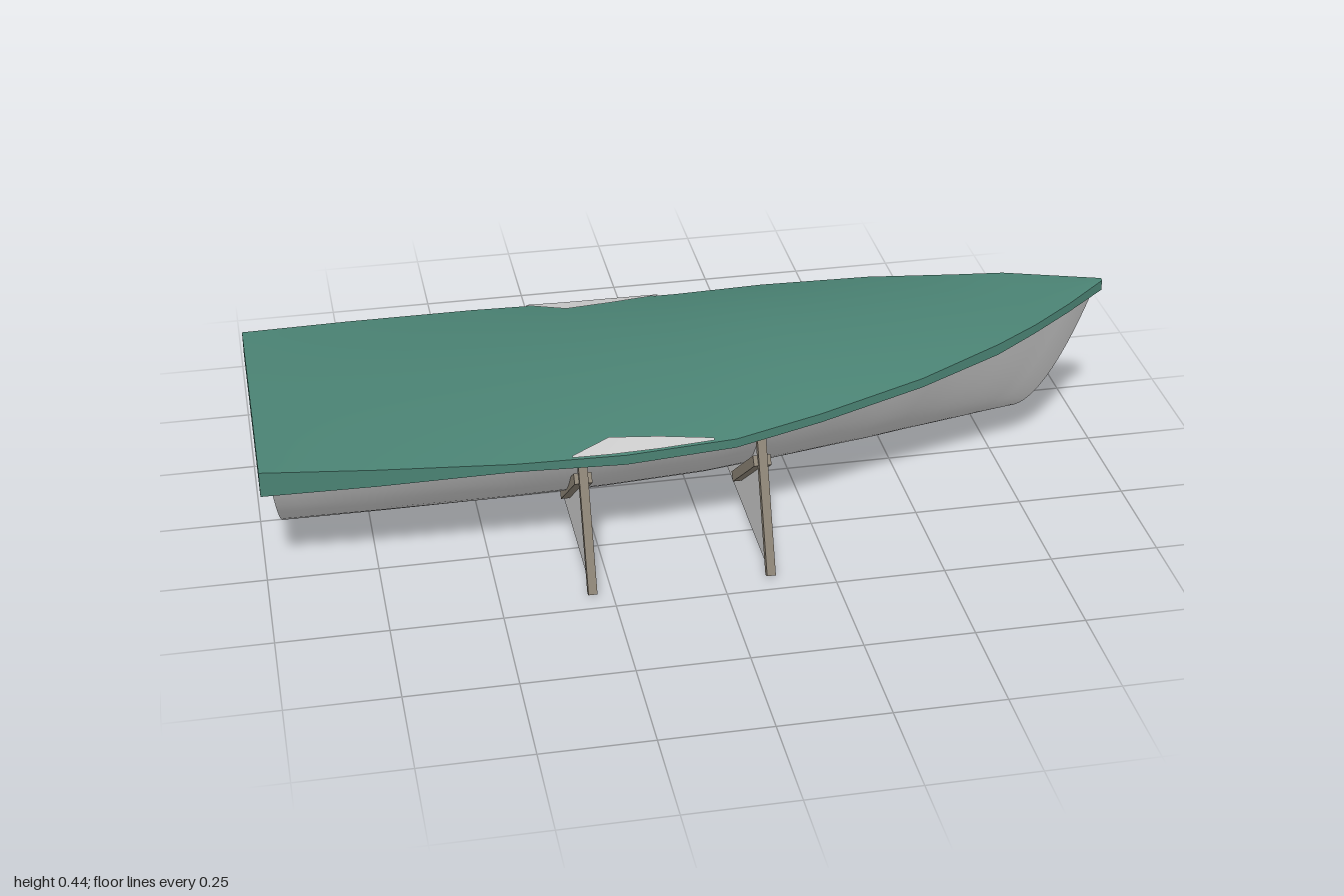
import * as THREE from 'three';

const grey = new THREE.MeshStandardMaterial({ color: 0xcccccc, side: THREE.DoubleSide });
const green = new THREE.MeshStandardMaterial({ color: 0x4a8273, side: THREE.DoubleSide });
const wood = new THREE.MeshStandardMaterial({ color: 0x8c8375 });

// Stations along the boat: x, half width, cover edge y, cover ridge y, skirt bottom y
const stations = [
  [-1, 0.325, 0.325, 0.33, 0.265],
  [-0.75, 0.347, 0.317, 0.335, 0.275],
  [-0.45, 0.365, 0.308, 0.34, 0.288],
  [-0.2, 0.365, 0.303, 0.346, 0.279],
  [0.05, 0.352, 0.309, 0.357, 0.287],
  [0.25, 0.318, 0.332, 0.379, 0.31],
  [0.5, 0.255, 0.361, 0.389, 0.338],
  [0.7, 0.178, 0.387, 0.398, 0.36],
  [0.8, 0.134, 0.404, 0.407, 0.382],
  [0.9, 0.073, 0.418, 0.421, 0.396],
  [1, 0.006, 0.435, 0.436, 0.41],
];

// Interpolated station values at x
function at(x) {
  let i = 0;
  while (i < stations.length - 2 && x > stations[i + 1][0]) i++;
  const a = stations[i], b = stations[i + 1];
  const t = THREE.MathUtils.clamp((x - a[0]) / (b[0] - a[0]), 0, 1);
  const [, w, edge, ridge, skirt] = a.map((v, k) => v + (b[k] - v) * t);
  return { w, edge, ridge, skirt };
}

// Skin over rows of [x, y, z] points
function loft(name, rows, material) {
  const n = rows[0].length, index = [];
  for (let i = 0; i < rows.length - 1; i++) {
    for (let j = 0; j < n - 1; j++) {
      const a = i * n + j, b = a + n;
      index.push(a, a + 1, b, b, a + 1, b + 1);
    }
  }
  const geometry = new THREE.BufferGeometry();
  geometry.setAttribute('position', new THREE.Float32BufferAttribute(rows.flat(2), 3));
  geometry.setIndex(index);
  geometry.computeVertexNormals();
  const mesh = new THREE.Mesh(geometry, material);
  mesh.name = name;
  return mesh;
}

const range = (n, f) => Array.from({ length: n + 1 }, (_, i) => f(i / n));

// Cover height: gently crowned across the boat
function coverY(x, z) {
  const s = at(x), a = Math.min(1, Math.abs(z) / s.w);
  return s.ridge - (s.ridge - s.edge) * a * a;
}

// One hull section from rail to rail; t runs stern to bow
function hullSection(t) {
  const keelX = -0.94 + 1.74 * t, railX = -0.98 + 1.965 * t;
  const keelY = 0.055 + 0.06 * t;
  const s = at(railX);
  const width = t === 1 ? 0 : s.w * 0.94;
  return range(28, (k) => {
    const a = 1 - 2 * k, h = Math.pow(Math.abs(a), 2.7);
    return [
      keelX + (railX - keelX) * Math.pow(Math.abs(a), 1.5),
      keelY + (s.edge - 0.014 - keelY) * h,
      width * a,
    ];
  });
}

// Square bar between two points in the y-z plane
function bar(name, from, to, thickness, depth, x) {
  const dz = to[0] - from[0], dy = to[1] - from[1];
  const mesh = new THREE.Mesh(new THREE.BoxGeometry(depth, Math.hypot(dz, dy), thickness), wood);
  mesh.position.set(x, (from[1] + to[1]) / 2, (from[0] + to[0]) / 2);
  mesh.rotation.x = Math.atan2(dz, dy);
  mesh.name = name;
  return mesh;
}

export function createModel() {
  const boat = new THREE.Group();
  boat.name = 'coveredBoat';

  // Hull and its flat raked transom
  boat.add(loft('hull', range(40, hullSection).reverse(), grey));
  const stern = hullSection(0);
  boat.add(loft('transom', [
    stern,
    stern.map(([, y, z]) => [-0.98, stern[0][1], z]),
  ], grey));

  // Tarpaulin: crowned top, side skirts and stern skirt
  const xs = range(40, (t) => -1 + 2 * t);
  boat.add(loft('coverTop', xs.map((x) => range(16, (k) => {
    const z = at(x).w * (2 * k - 1);
    return [x, coverY(x, z), z];
  })), green));
  for (const side of [1, -1]) {
    const rows = xs.map((x) => {
      const s = at(x);
      const strip = [[x, s.skirt, side * s.w], [x, s.edge, side * s.w]];
      return side > 0 ? strip : strip.reverse();
    });
    boat.add(loft(side > 0 ? 'leftSkirt' : 'rightSkirt', rows.reverse(), green));
  }
  const rear = at(-1);
  boat.add(loft('sternSkirt', [0, 1].map((row) => range(16, (k) => {
    const z = rear.w * (2 * k - 1);
    return [-1, row ? coverY(-1, z) : rear.skirt, z];
  })), green));
  const front = at(1);
  boat.add(loft('bowSkirt', [
    [[1, front.skirt, front.w], [1, front.skirt, -front.w]],
    [[1, front.edge, front.w], [1, front.edge, -front.w]],
  ], green));

  // Bare rail showing along the widest part
  for (const side of [1, -1]) {
    const outline = [[-0.32, 0.364, 0.358], [-0.23, 0.363, 0.308], [-0.12, 0.36, 0.322], [0, 0.353, 0.345]];
    const rows = outline.map(([x, outer, inner]) => {
      const pair = [inner, outer].map((z) => [x, coverY(x, z) + 0.004, side * z]);
      return side > 0 ? pair : pair.reverse();
    });
    boat.add(loft('exposedRail', rows, grey));
  }

  // Two stands: panel, splayed legs and braces under the bilge
  for (const x of [-0.295, 0.11]) {
    const stand = new THREE.Group();
    stand.name = 'stand';
    const panel = loft('standPanel', [
      [[x, 0.003, 0.45], [x, 0.003, -0.45]],
      [[x, 0.285, 0.325], [x, 0.285, -0.325]],
    ], grey);
    stand.add(panel);
    for (const side of [1, -1]) {
      stand.add(bar('leg', [side * 0.325, 0.297], [side * 0.449, 0.004], 0.02, 0.02, x));
      stand.add(bar('brace', [side * 0.345, 0.243], [side * 0.12, 0.068], 0.024, 0.04, x));
    }
    boat.add(stand);
  }
  return boat;
}
